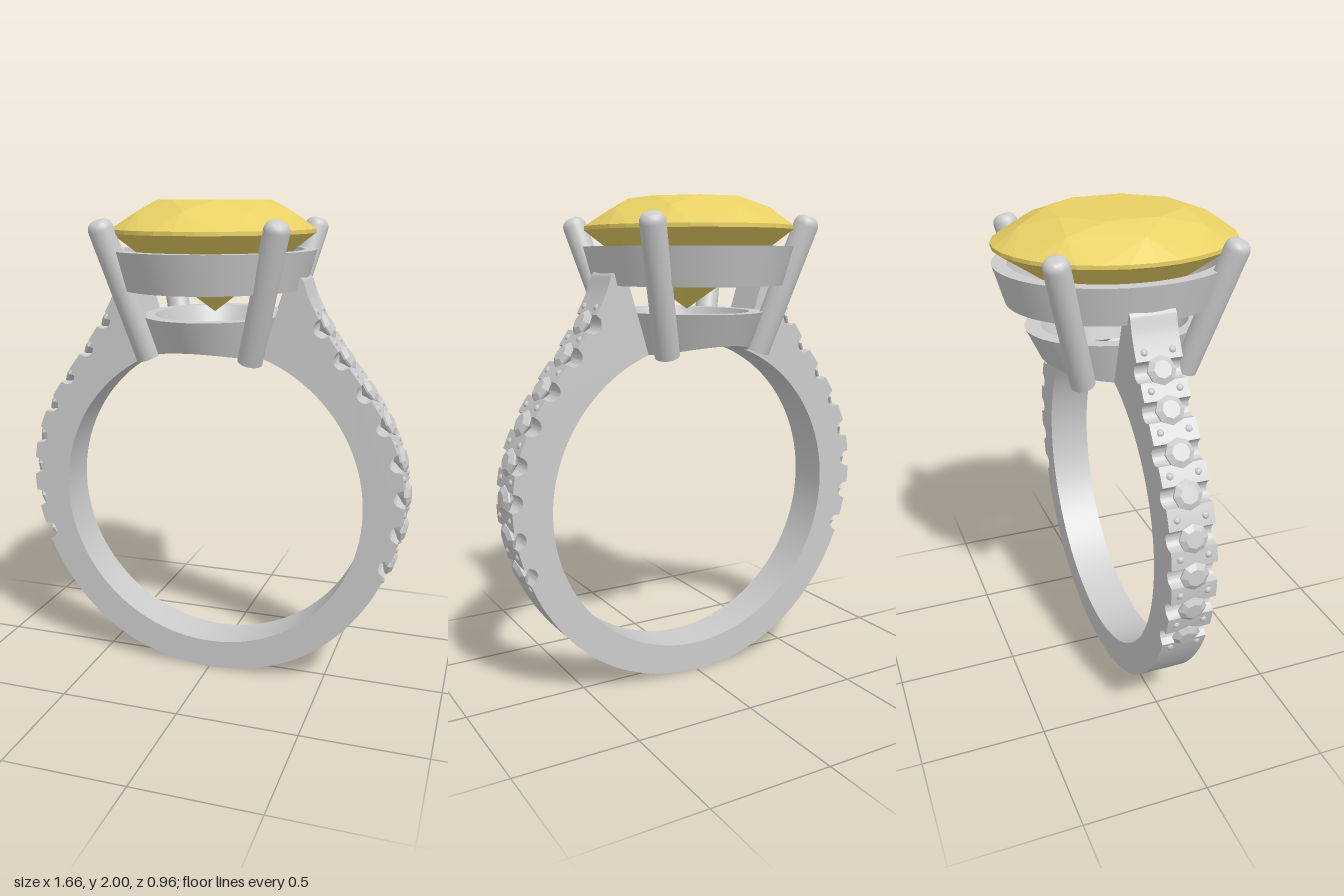
import * as THREE from 'three';
import { toCreasedNormals } from 'three/addons/utils/BufferGeometryUtils.js';
import { ConvexGeometry } from 'three/addons/geometries/ConvexGeometry.js';

const HOLE_Y = 0.78, HOLE_R = 0.65, HALF_WIDTH = 0.09;
const V2 = (x, y) => new THREE.Vector2(x, y);

export function createModel() {
  const ring = new THREE.Group();
  ring.name = 'ring';
  const metal = new THREE.MeshStandardMaterial({ color: 0xcccccc });
  const facetedGrey = new THREE.MeshStandardMaterial({ color: 0xcccccc, flatShading: true });
  const yellow = new THREE.MeshStandardMaterial({ color: 0xe8d064, flatShading: true });

  function add(name, geometry, material, parent = ring) {
    const mesh = new THREE.Mesh(geometry, material);
    mesh.name = name;
    parent.add(mesh);
    return mesh;
  }

  // Outer edge of one half of the band, from the bottom up to the shoulder
  const edge = new THREE.CatmullRomCurve3([
    [0, 0.004], [0.2, 0.03], [0.4, 0.11], [0.56, 0.235], [0.69, 0.405], [0.77, 0.585],
    [0.808, 0.75], [0.81, 0.87], [0.785, 1.01], [0.725, 1.15], [0.645, 1.275],
    [0.555, 1.395], [0.47, 1.52], [0.41, 1.63], [0.385, 1.7],
  ].map(([x, y]) => new THREE.Vector3(x, y, 0)));
  const samples = [];
  for (let i = 0; i <= 420; i++) {
    const p = edge.getPointAt(i / 420), t = edge.getTangentAt(i / 420);
    samples.push({ p: V2(p.x, p.y), n: V2(t.y, -t.x) });
  }
  const atHeight = (y) => samples.reduce((a, b) => (Math.abs(b.p.y - y) < Math.abs(a.p.y - y) ? b : a));
  const stoneHeights = [0.56, 0.71, 0.86, 1.005, 1.145, 1.275, 1.4, 1.52];
  const seats = stoneHeights.map(atHeight);

  // Half outline with a round scallop cut at each small stone
  const NOTCH = 0.036;
  const outline = samples.map(({ p, n }) => {
    let depth = 0;
    for (const s of seats) {
      const d = p.distanceTo(s.p);
      if (d < NOTCH) depth = Math.sqrt(NOTCH * NOTCH - d * d) + 0.006;
    }
    return p.clone().addScaledVector(n, -depth);
  });
  outline.push(V2(0.375, 1.71), V2(0.325, 1.71));

  // Band: right half, round the finger hole, left half
  const mirror = (pts) => pts.map((p) => V2(-p.x, p.y)).reverse();
  const hole = [];
  const start = Math.acos(0.225 / HOLE_R);
  for (let i = 0; i <= 96; i++) {
    const a = Math.PI - start + (i / 96) * (Math.PI + 2 * start);
    hole.push(V2(HOLE_R * Math.cos(a), HOLE_Y + HOLE_R * Math.sin(a)));
  }
  const bandShape = new THREE.Shape([...outline, ...hole.reverse(), ...mirror(outline).slice(0, -1)]);
  const bandGeometry = new THREE.ExtrudeGeometry(bandShape, { depth: 2 * HALF_WIDTH, bevelEnabled: false });
  bandGeometry.translate(0, 0, -HALF_WIDTH);
  add('band', toCreasedNormals(bandGeometry, 0.5), metal);

  // Small stones and the beads that hold them, on both shoulders
  const stoneGeometry = new THREE.LatheGeometry(
    [V2(0, -0.04), V2(0.056, -0.006), V2(0.056, 0.002), V2(0.034, 0.016), V2(0, 0.016)], 8);
  const beadGeometry = new THREE.CapsuleGeometry(0.016, 0.03, 3, 8);
  const beadSpots = [0.495, 0.635, 0.785, 0.935, 1.075, 1.21, 1.34, 1.46, 1.58].map(atHeight);
  for (const side of [1, -1]) {
    const shoulder = new THREE.Group();
    shoulder.name = side > 0 ? 'leftShoulderStones' : 'rightShoulderStones';
    if (side < 0) shoulder.rotation.y = Math.PI;
    ring.add(shoulder);
    for (const { p, n } of seats) {
      const stone = add('smallStone', stoneGeometry, facetedGrey, shoulder);
      stone.position.set(p.x, p.y, 0);
      stone.rotation.z = Math.atan2(-n.x, n.y);
    }
    for (const { p, n } of beadSpots) {
      for (const z of [-0.055, 0.055]) {
        const bead = add('bead', beadGeometry, metal, shoulder);
        bead.position.set(p.x - n.x * 0.022, p.y - n.y * 0.022, z);
        bead.rotation.z = Math.atan2(-n.x, n.y);
      }
    }
  }

  // Oval gallery rings: closed wall profile, narrowed in x
  function ovalRing(name, profile, xScale, fitFinger) {
    const pts = profile.map(([r, y]) => V2(r, y));
    const g = new THREE.LatheGeometry([...pts, pts[0].clone()], 72);
    g.scale(xScale, 1, 1);
    if (fitFinger) {
      // Hollow the underside to follow the finger hole
      const pos = g.attributes.position;
      for (let i = 0; i < pos.count; i++) {
        if (pos.getY(i) < 1.5) pos.setY(i, HOLE_Y + Math.sqrt(HOLE_R ** 2 - pos.getX(i) ** 2));
      }
    }
    add(name, toCreasedNormals(g, 0.6), metal);
  }
  ovalRing('upperGallery', [[0.435, 1.66], [0.48, 1.81], [0.42, 1.81], [0.375, 1.66]], 0.845, false);
  ovalRing('lowerGallery', [[0.305, 1.42], [0.365, 1.555], [0.3, 1.555], [0.24, 1.42]], 0.78, true);

  // Four leaning prongs with rounded tips
  const bottom = new THREE.Vector3(0.21, 1.395, 0.21), top = new THREE.Vector3(0.35, 1.925, 0.35);
  const length = top.distanceTo(bottom);
  const prongProfile = [V2(0, 0), V2(0.049, 0), V2(0.049, length - 0.035)];
  for (let i = 1; i <= 5; i++) {
    const a = (i / 5) * Math.PI / 2;
    prongProfile.push(V2(0.016 + 0.033 * Math.cos(a), length - 0.035 + 0.035 * Math.sin(a)));
  }
  prongProfile.push(V2(0, length));
  const prongGeometry = toCreasedNormals(new THREE.LatheGeometry(prongProfile, 24), 0.6);
  for (const sx of [1, -1]) {
    for (const sz of [1, -1]) {
      const prong = add('prong', prongGeometry, metal);
      const flip = new THREE.Vector3(sx, 1, sz);
      const foot = bottom.clone().multiply(flip);
      const dir = top.clone().multiply(flip).sub(foot).normalize();
      prong.position.copy(foot);
      prong.quaternion.setFromUnitVectors(new THREE.Vector3(0, 1, 0), dir);
    }
  }

  // Oval brilliant-cut centre stone: rings of facet corners from table to culet
  const corners = [new THREE.Vector3(0, 1.56, 0)];
  function cornerRing(count, r, y, turn) {
    for (let i = 0; i < count; i++) {
      const a = ((i + turn) / count) * Math.PI * 2;
      corners.push(new THREE.Vector3(0.4 * r * Math.sin(a), y, 0.48 * r * Math.cos(a)));
    }
  }
  cornerRing(8, 0.56, 2.0, 0.5);
  cornerRing(8, 0.78, 1.96, 0);
  cornerRing(32, 1, 1.89, 0);
  cornerRing(32, 1, 1.875, 0);
  cornerRing(8, 0.42, 1.687, 0);
  add('centreStone', new ConvexGeometry(corners), yellow);

  return ring;
}
